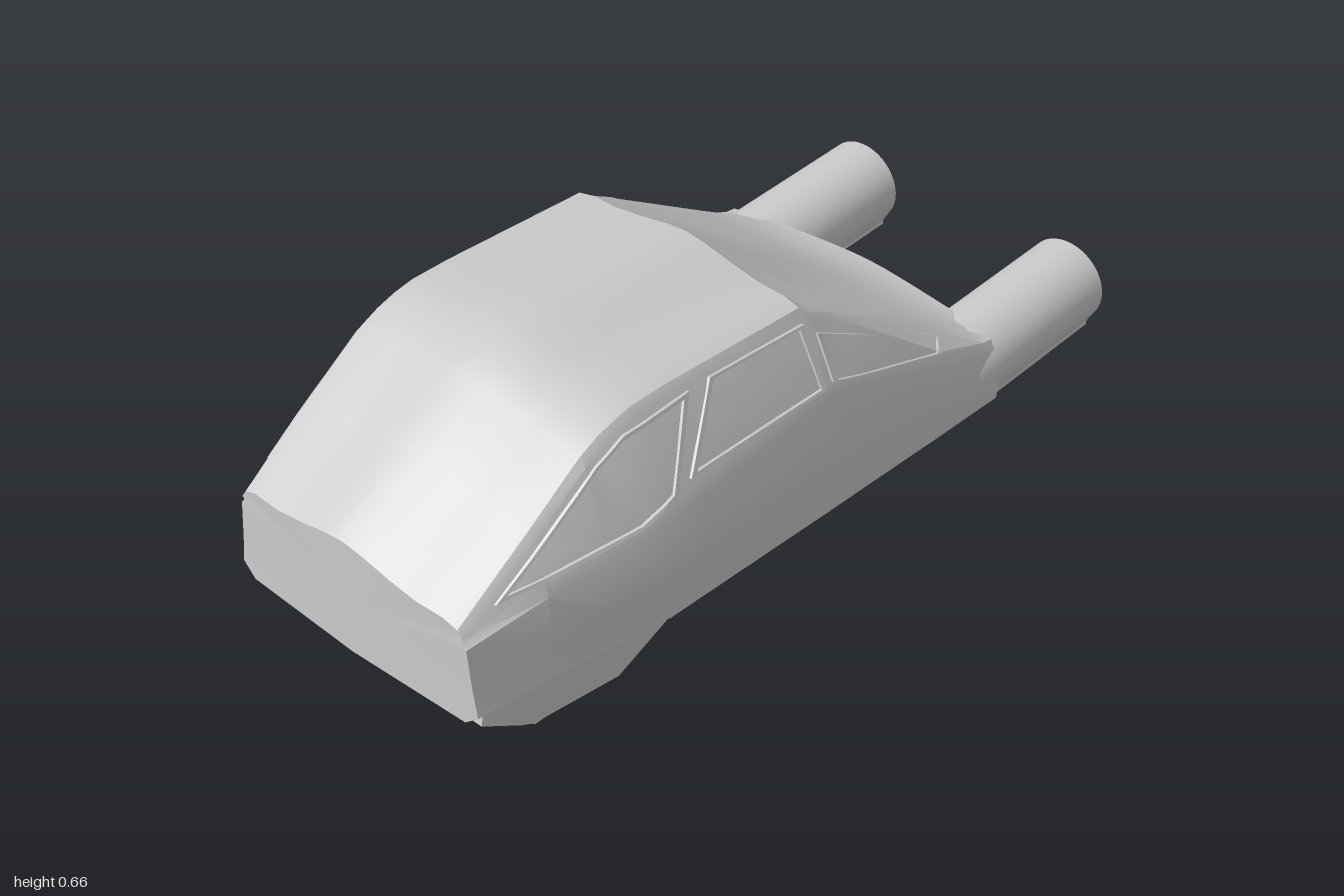
import * as THREE from 'three';
import { toCreasedNormals } from 'three/addons/utils/BufferGeometryUtils.js';

const material = new THREE.MeshStandardMaterial({ color: 0xcccccc });
const thin = new THREE.MeshStandardMaterial({ color: 0xcccccc, side: THREE.DoubleSide });

// Body stations, front to back:
// z, bottom y, lower x, middle x, belt x, belt y, roof half width, roof y, roof edge drop
const STATIONS = [
  [0.985, 0.11, 0.345, 0.335, 0.325, 0.31, 0.32, 0.405, 0.075],
  [0.8, 0.105, 0.37, 0.367, 0.365, 0.345, 0.325, 0.525, 0.068],
  [0.65, 0.1, 0.39, 0.392, 0.387, 0.355, 0.325, 0.62, 0.065],
  [0.6, 0.097, 0.397, 0.4, 0.394, 0.36, 0.325, 0.641, 0.065],
  [0.55, 0.093, 0.403, 0.407, 0.4, 0.363, 0.325, 0.654, 0.065],
  [0.5, 0.08, 0.408, 0.413, 0.407, 0.365, 0.325, 0.66, 0.065],
  [0.4, 0.075, 0.41, 0.415, 0.407, 0.37, 0.325, 0.656, 0.065],
  [0, 0.05, 0.415, 0.418, 0.402, 0.385, 0.328, 0.62, 0.065],
  [-0.03, 0.048, 0.415, 0.418, 0.402, 0.378, 0.33, 0.592, 0.06],
  [-0.1, 0.043, 0.415, 0.418, 0.403, 0.36, 0.332, 0.545, 0.05],
  [-0.13, 0.041, 0.415, 0.418, 0.403, 0.35, 0.332, 0.515, 0.037],
  [-0.4, 0.02, 0.414, 0.418, 0.405, 0.235, 0.335, 0.335, 0.025],
  [-0.57, 0.007, 0.412, 0.417, 0.4, 0.16, 0.34, 0.222, 0.016],
  [-0.6, 0.005, 0.412, 0.416, 0.4, 0.155, 0.34, 0.21, 0.014],
];

// Half cross-section from bottom centre up the side to the roof centre
function halfSection([, bottom, lowX, midX, beltX, beltY, roofX, top, drop]) {
  const edgeY = top - drop;
  return [
    [0, bottom], [lowX - 0.035, bottom], [lowX, bottom + 0.03], [midX, (bottom + beltY) / 2],
    [beltX, beltY], [beltX - 0.015, Math.min(beltY + 0.035, edgeY - 0.006)],
    [roofX, edgeY], [roofX - 0.015, top - 0.7 * drop], [0.27, top - 0.53 * drop],
    [0.2, top - 0.51 * drop], [0.13, top - 0.33 * drop], [0.05, top - 0.08 * drop], [0, top],
  ];
}

// Width of the body side at a given z and y
function sideX(z, y) {
  let i = 0;
  while (i < STATIONS.length - 2 && z < STATIONS[i + 1][0]) i++;
  const a = STATIONS[i], b = STATIONS[i + 1];
  const t = (z - a[0]) / (b[0] - a[0]);
  const pts = halfSection(a.map((v, k) => v + (b[k] - v) * t));
  let j = 1;
  while (j < 7 && y > pts[j + 1][1]) j++;
  const [p, q] = [pts[j], pts[j + 1]];
  return p[0] + (q[0] - p[0]) * THREE.MathUtils.clamp((y - p[1]) / (q[1] - p[1]), 0, 1);
}

function indexed(positions, index, crease) {
  const g = new THREE.BufferGeometry();
  g.setAttribute('position', new THREE.Float32BufferAttribute(positions, 3));
  g.setIndex(index);
  return toCreasedNormals(g, crease);
}

function bodyGeometry() {
  const pos = [], index = [], last = STATIONS.length - 1;
  let n = 0;
  const bulge = (i, x) => {
    const f = 1 - (x / 0.35) ** 2;
    return i === 0 ? 0.015 * Math.max(f, 0) : i === last ? -0.03 * Math.max(f, 0) : 0;
  };
  STATIONS.forEach((s, i) => {
    const half = halfSection(s);
    const ring = [...half, ...half.slice(1, -1).reverse().map(([x, y]) => [-x, y])];
    n = ring.length;
    for (const [x, y] of ring) pos.push(x, y, s[0] + bulge(i, x));
  });
  for (let i = 0; i < last; i++) {
    for (let j = 0; j < n; j++) {
      const a = i * n + j, b = i * n + (j + 1) % n;
      index.push(a, a + n, b, b, a + n, b + n);
    }
  }
  // End caps
  const c = (last + 1) * n;
  pos.push(0, 0.24, 1, 0, 0.1, -0.63);
  for (let j = 0; j < n; j++) {
    const k = (j + 1) % n;
    index.push(c, j, k, c + 1, last * n + k, last * n + j);
  }
  return indexed(pos, index, 0.4);
}

// Raised rim following the body side around a window outline of [z, y] corners
function windowFrame(corners, side) {
  const steps = 6, pos = [], index = [];
  const cz = corners.reduce((s, p) => s + p[0], 0) / corners.length;
  const cy = corners.reduce((s, p) => s + p[1], 0) / corners.length;
  const loops = [[1, -0.004], [0.99, 0.006], [0.91, 0.006], [0.9, -0.004]];
  const n = corners.length * steps;
  for (const [scale, lift] of loops) {
    corners.forEach((p, i) => {
      const q = corners[(i + 1) % corners.length];
      for (let k = 0; k < steps; k++) {
        const t = k / steps;
        const z = cz + (p[0] + (q[0] - p[0]) * t - cz) * scale;
        const y = cy + (p[1] + (q[1] - p[1]) * t - cy) * scale;
        pos.push(side * (sideX(z, y) + lift), y, z);
      }
    });
  }
  for (let r = 0; r < loops.length - 1; r++) {
    for (let j = 0; j < n; j++) {
      const a = r * n + j, b = r * n + (j + 1) % n;
      if (side > 0) index.push(a, b, a + n, b, b + n, a + n);
      else index.push(a, a + n, b, b, a + n, b + n);
    }
  }
  return indexed(pos, index, 0.5);
}

const WINDOWS = {
  frontWindow: [[0.91, 0.375], [0.63, 0.55], [0.55, 0.58], [0.36, 0.58], [0.46, 0.405], [0.56, 0.38]],
  doorWindow: [[0.42, 0.42], [0.3, 0.578], [0.01, 0.55], [0, 0.405]],
  rearWindow: [[-0.02, 0.515], [-0.45, 0.272], [-0.4, 0.268], [-0.02, 0.41]],
};

// Rear boom: round top, flat bottom
function boomGeometry(x) {
  const shape = new THREE.Shape();
  shape.moveTo(x - 0.07, 0.016);
  shape.lineTo(x + 0.07, 0.016);
  shape.absarc(x, 0.105, 0.105, -0.4, Math.PI + 0.4, false);
  shape.closePath();
  const g = new THREE.ExtrudeGeometry(shape, { depth: 0.5, bevelEnabled: false, curveSegments: 16 });
  g.translate(0, 0, -1);
  return toCreasedNormals(g, 0.45);
}

// Front foot: side outline extruded across, outer face following the body
function footGeometry(side) {
  const outline = [[0.97, 0.14], [0.975, 0.11], [0.87, 0.037], [0.84, 0.022], [0.62, 0.012], [0.5, 0.1], [0.5, 0.14]];
  const shape = new THREE.Shape(outline.map(([z, y]) => new THREE.Vector2(-z, y)));
  const g = new THREE.ExtrudeGeometry(shape, { depth: 1, bevelEnabled: false });
  const p = g.attributes.position;
  for (let i = 0; i < p.count; i++) {
    const z = -p.getX(i), y = p.getY(i), outer = p.getZ(i) > 0.5;
    const inset = y < 0.05 ? 0.01 : 0;
    const x = outer ? 0.342 + (0.975 - z) * 0.12 - inset : 0.21 + inset;
    p.setXYZ(i, side * x, y, z);
  }
  // Restore the winding on the left side, where the remap flips it
  const probe = new THREE.Vector3(), a = new THREE.Vector3(), b = new THREE.Vector3(), c = new THREE.Vector3();
  let volume = 0;
  for (let i = 0; i < p.count; i += 3) {
    a.fromBufferAttribute(p, i); b.fromBufferAttribute(p, i + 1); c.fromBufferAttribute(p, i + 2);
    volume += a.dot(probe.crossVectors(b, c));
  }
  for (let i = 0; volume < 0 && i < p.count; i += 3) {
    a.fromBufferAttribute(p, i + 1); b.fromBufferAttribute(p, i + 2);
    p.setXYZ(i + 1, b.x, b.y, b.z);
    p.setXYZ(i + 2, a.x, a.y, a.z);
  }
  g.computeVertexNormals();
  return g;
}

// Flat rectangular rim under a foot or boom, centred at the origin
function rimGeometry(width, length) {
  const rect = (T, w, l) => new T([[-w, -l], [w, -l], [w, l], [-w, l]].map(([x, y]) => new THREE.Vector2(x / 2, y / 2)));
  const shape = rect(THREE.Shape, width, length);
  shape.holes.push(rect(THREE.Path, width - 0.03, length - 0.04));
  const g = new THREE.ExtrudeGeometry(shape, { depth: 0.016, bevelEnabled: false });
  return g.rotateX(-Math.PI / 2);
}

export function createModel() {
  const group = new THREE.Group();
  const add = (name, geometry, mat = material) => {
    const mesh = new THREE.Mesh(geometry, mat);
    mesh.name = name;
    group.add(mesh);
    return mesh;
  };

  add('body', bodyGeometry());
  for (const [side, label] of [[1, 'left'], [-1, 'right']]) {
    for (const [name, corners] of Object.entries(WINDOWS)) {
      add(`${label} ${name} frame`, windowFrame(corners, side), thin);
    }
    add(`${label} rear boom`, boomGeometry(side * 0.31));
    add(`${label} boom rim`, rimGeometry(0.14, 0.4)).position.set(side * 0.31, 0.005, -0.8);
    add(`${label} front foot`, footGeometry(side));
    const rim = add(`${label} foot rim`, rimGeometry(0.12, 0.21));
    rim.position.set(side * 0.285, 0.008, 0.73);
    rim.rotation.x = -0.045;
  }
  return group;
}
